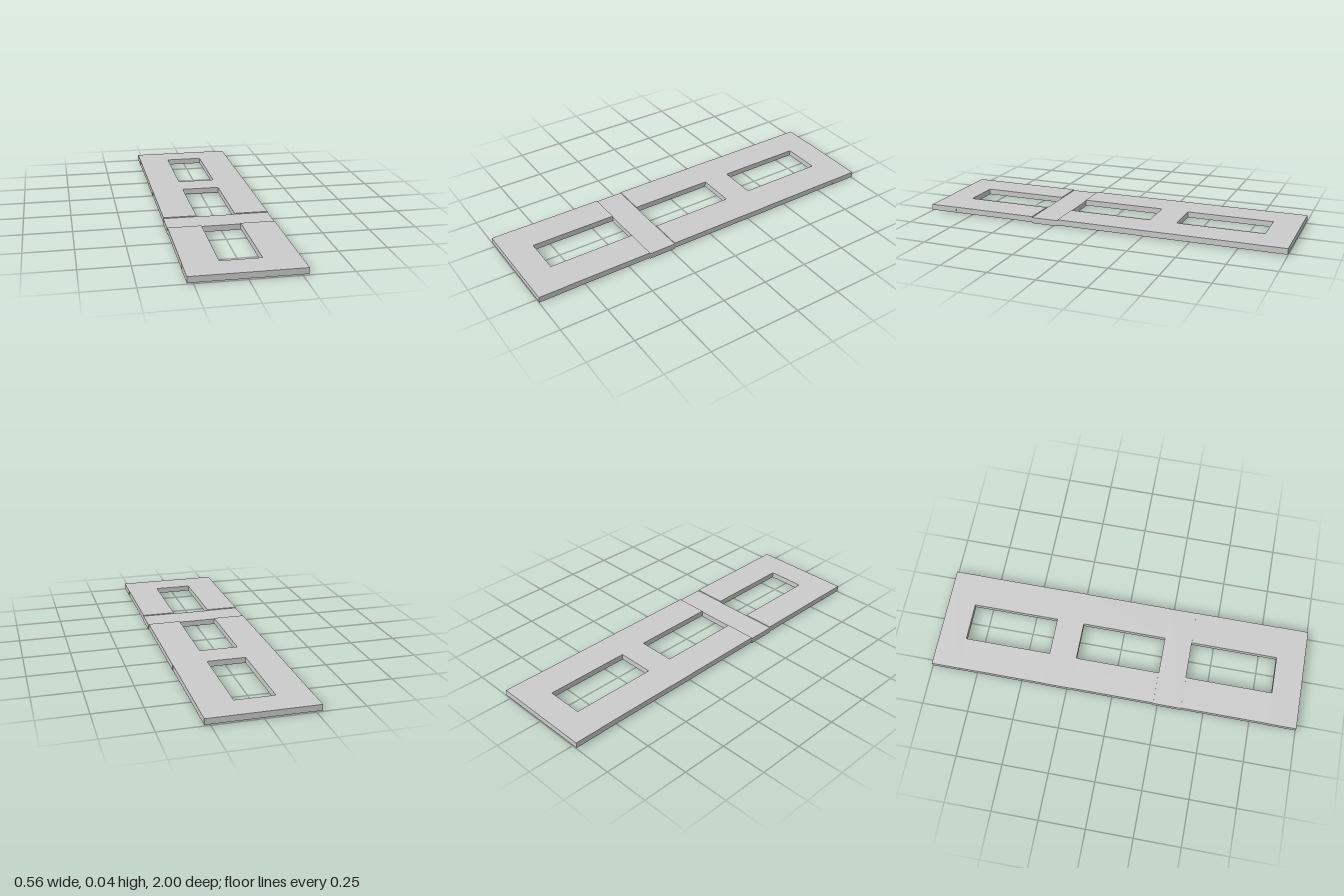
import * as THREE from 'three';

const material = new THREE.MeshStandardMaterial({ color: 0xcccccc, flatShading: true });

// Box given by its extents on each axis
function slab(name, [x0, x1], [y0, y1], [z0, z1]) {
  const mesh = new THREE.Mesh(new THREE.BoxGeometry(x1 - x0, y1 - y0, z1 - z0), material);
  mesh.position.set((x0 + x1) / 2, (y0 + y1) / 2, (z0 + z1) / 2);
  mesh.name = name;
  return mesh;
}

export function createModel() {
  const model = new THREE.Group();
  model.name = 'windowedPanel';

  const raised = [0.005, 0.036];
  const lowered = [0, 0.031];

  // Full-width bars; the front crossbar sits slightly lower
  const bars = [
    ['backBar', raised, [-1, -0.85]],
    ['backCrossbar', raised, [-0.38, -0.23]],
    ['frontCrossbar', lowered, [0.227, 0.377]],
    ['frontBar', raised, [0.847, 1]],
  ];
  for (const [name, height, depth] of bars) {
    model.add(slab(name, [-0.28, 0.28], height, depth));
  }

  // Pairs of side rails between the bars, leaving the three openings
  for (let i = 0; i < bars.length - 1; i++) {
    const depth = [bars[i][2][1], bars[i + 1][2][0]];
    const section = ['back', 'middle', 'front'][i];
    model.add(slab(section + 'RightRail', [-0.279, -0.105], raised, depth));
    model.add(slab(section + 'LeftRail', [0.1, 0.279], raised, depth));
  }
  return model;
}
